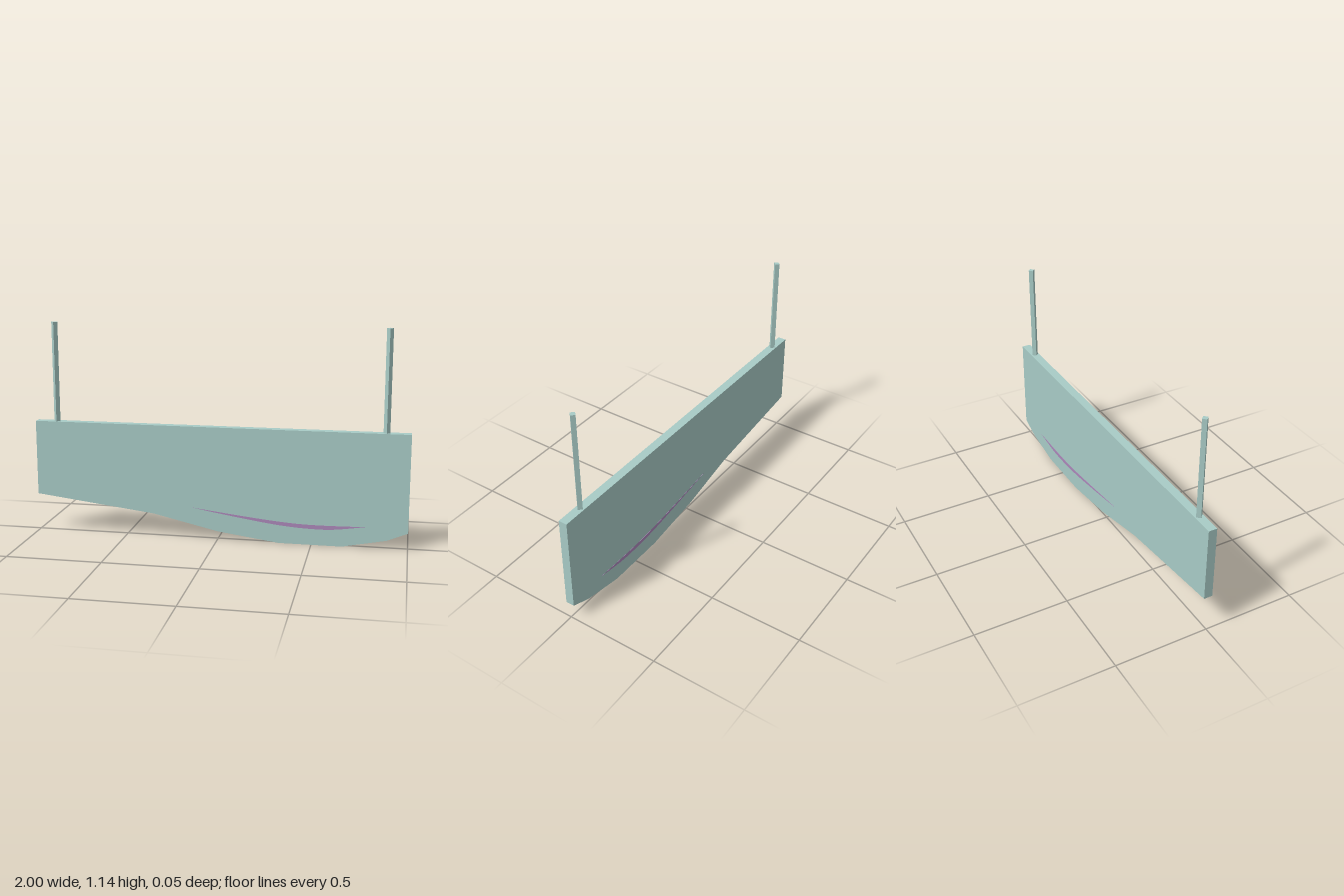
import * as THREE from 'three';

const paint = new THREE.MeshStandardMaterial({ color: 0xa8cbc6 });
paint.name = 'paleTeal';
const accent = new THREE.MeshStandardMaterial({ color: 0xab87b9 });
accent.name = 'mauve';

// Extrudes an outline, centred on z = 0
function slab(name, shape, depth, material) {
  const geometry = new THREE.ExtrudeGeometry(shape, { depth, bevelEnabled: false });
  geometry.translate(0, 0, -depth / 2);
  const mesh = new THREE.Mesh(geometry, material);
  mesh.name = name;
  return mesh;
}

const points = (list) => list.map(([x, y]) => new THREE.Vector2(x, y));

export function createModel() {
  const model = new THREE.Group();
  model.name = 'hangingBoard';
  const thickness = 0.046;

  // Flat board with a sagging lower edge
  const outline = new THREE.Shape(points([
    [-1, 0.205], [-0.35, 0.125], [0, 0.045], [0.33, 0], [0.66, 0],
    [0.89, 0.045], [1, 0.09], [1, 0.61], [-1, 0.61],
  ]));
  model.add(slab('board', outline, thickness, paint));

  // Slim curved stripe, one thin plate on each face
  const stripe = new THREE.Shape();
  stripe.moveTo(-0.14, 0.17);
  stripe.splineThru(points([[0, 0.146], [0.2, 0.115], [0.36, 0.095], [0.5, 0.087], [0.62, 0.09], [0.78, 0.113]]));
  stripe.splineThru(points([[0.6, 0.109], [0.45, 0.11], [0.3, 0.12], [0.1, 0.141], [-0.14, 0.17]]));
  for (const side of [1, -1]) {
    const plate = slab(side > 0 ? 'frontStripe' : 'backStripe', stripe, 0.002, accent);
    plate.position.z = side * thickness / 2;
    model.add(plate);
  }

  // Four-sided hanging rods, edge-on to the front
  const bottom = 0.605, top = 1.145;
  for (const [name, x] of [['rightRod', -0.885], ['leftRod', 0.874]]) {
    const geometry = new THREE.CylinderGeometry(0.017, 0.017, top - bottom, 4).toNonIndexed();
    geometry.computeVertexNormals();
    const rod = new THREE.Mesh(geometry, paint);
    rod.name = name;
    rod.position.set(x, (top + bottom) / 2, 0);
    model.add(rod);
  }
  return model;
}
